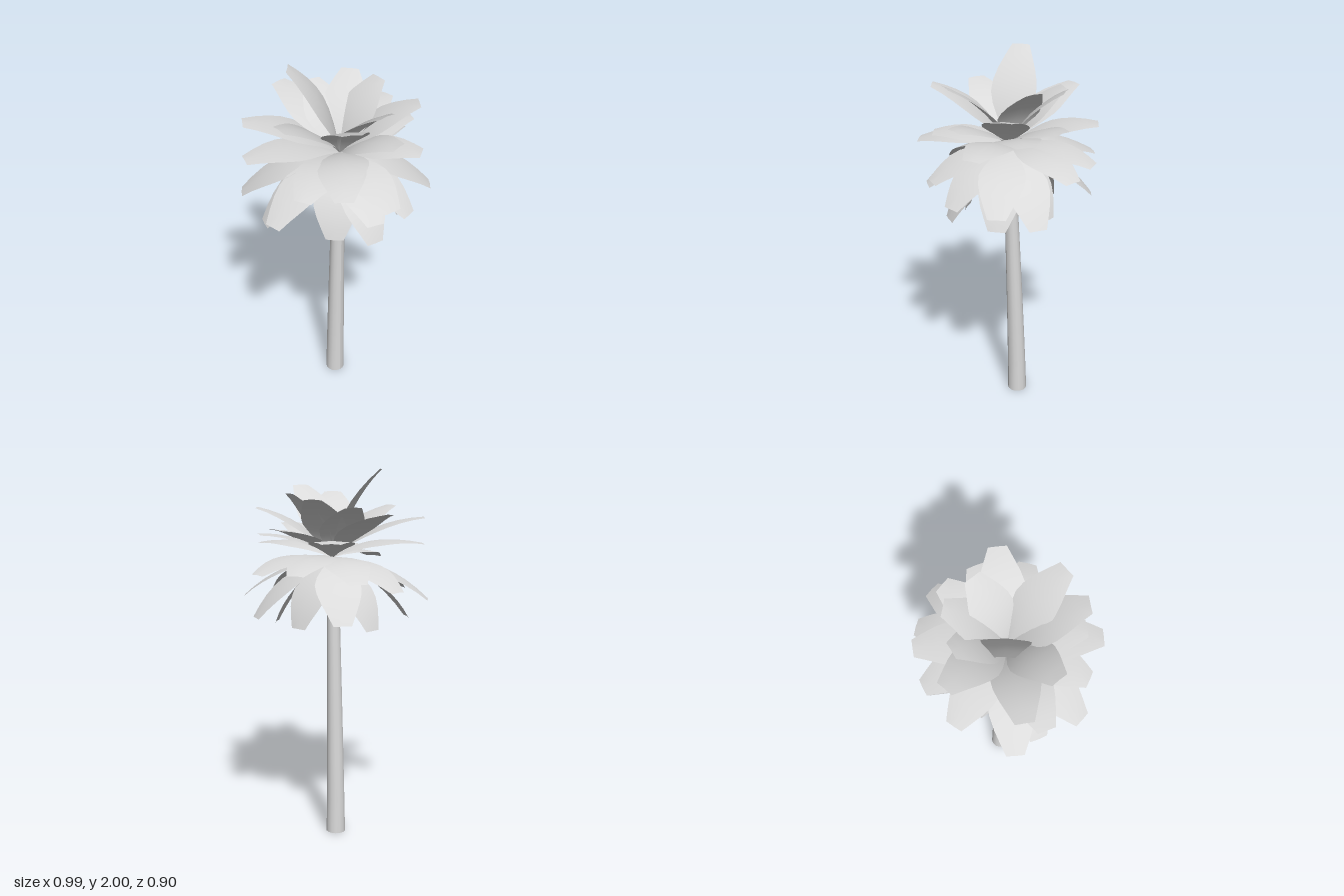
import * as THREE from 'three';

const CROWN = new THREE.Vector3(0, 1.535, 0.01);

// leaf tips (x, y, z), from the upright top layer to the hanging skirt
const UPPER = [
  [-0.20, 2.0, -0.145], [0.025, 1.82, -0.285], [0.21, 1.86, -0.205], [0.25, 1.88, -0.01],
  [0.35, 1.8, 0.2], [0.025, 1.9, 0.365], [-0.17, 1.86, 0.36], [-0.37, 1.8, 0.04],
];
const MIDDLE = [
  [0.375, 1.71, -0.11], [0.385, 1.67, 0.09], [-0.435, 1.75, -0.2], [-0.1, 1.79, -0.41],
  [0.2, 1.66, -0.4], [0.275, 1.6, 0.33], [0.11, 1.7, 0.355], [0.48, 1.49, -0.12],
  [-0.487, 1.6, -0.105], [-0.18, 1.6, 0.36], [-0.25, 1.55, 0.415], [-0.375, 1.5, 0.24],
];
const LOWER = [
  [-0.483, 1.33, 0.13], [-0.075, 1.36, 0.437], [0.02, 1.41, 0.447], [0.16, 1.31, 0.4],
  [0.405, 1.33, 0.255], [0.43, 1.24, 0.04], [0.35, 1.5, -0.3], [0.075, 1.46, -0.445],
  [-0.16, 1.4, -0.425], [-0.44, 1.32, -0.25], [-0.155, 1.15, 0.19], [-0.01, 1.17, 0.35],
  [0.25, 1.18, 0.19], [0.25, 1.19, -0.1], [-0.1, 1.18, -0.27], [0.14, 1.25, -0.405],
  [-0.41, 1.2, -0.08],
];

// half width of a leaf along its length: pointed stem, broad middle, blunt tip
const WIDTH = [[0, 0.004], [0.12, 0.034], [0.25, 0.07], [0.38, 0.102], [0.5, 0.119],
  [0.62, 0.115], [0.75, 0.097], [0.88, 0.071], [1, 0.046]];

// a curved blade swept along an arching midrib, with slightly lowered edges
function leafGeometry([x, y, z]) {
  const tip = new THREE.Vector3(x, y, z);
  const chord = tip.clone().sub(CROWN);
  const side = new THREE.Vector3(chord.z, 0, -chord.x).normalize();
  const arch = chord.clone().cross(side).multiplyScalar(0.19);
  const bend = CROWN.clone().lerp(tip, 0.5).add(arch);
  const rib = new THREE.QuadraticBezierCurve3(CROWN, bend, tip);
  const pos = [], index = [];
  WIDTH.forEach(([t, w], i) => {
    const p = rib.getPoint(t);
    const up = rib.getTangent(t).cross(side).normalize();
    for (const s of [-1, 0, 1]) {
      const v = p.clone().addScaledVector(side, s * w);
      v.addScaledVector(up, -Math.abs(s) * w * 0.08);
      pos.push(v.x, v.y, v.z);
    }
    if (i === 0) return;
    for (let k = 0; k < 2; k++) {
      const a = (i - 1) * 3 + k, b = a + 3;
      index.push(a, b, a + 1, a + 1, b, b + 1);
    }
  });
  const g = new THREE.BufferGeometry();
  g.setAttribute('position', new THREE.Float32BufferAttribute(pos, 3));
  g.setIndex(index);
  g.computeVertexNormals();
  return g;
}

// tapered open trunk leaning gently forward
function trunkGeometry() {
  const h = 1.52;
  const g = new THREE.CylinderGeometry(0.031, 0.053, h, 14, 8, true);
  g.translate(0, h / 2, 0);
  const p = g.attributes.position;
  for (let i = 0; i < p.count; i++) {
    const t = p.getY(i) / h;
    p.setZ(i, p.getZ(i) - 0.04 + 0.05 * Math.pow(t, 1.2));
    p.setX(i, p.getX(i) + 0.002 - 0.005 * t);
  }
  g.computeVertexNormals();
  return g;
}

export function createModel() {
  const palm = new THREE.Group();
  palm.name = 'palmTree';
  const grey = new THREE.MeshStandardMaterial({ color: 0xdadada, side: THREE.DoubleSide });
  grey.name = 'light grey';

  const trunk = new THREE.Mesh(trunkGeometry(), grey);
  trunk.name = 'trunk';
  palm.add(trunk);

  // crown of leaves, layer by layer
  for (const [name, tips] of Object.entries({ upperLeaves: UPPER, middleLeaves: MIDDLE, lowerLeaves: LOWER })) {
    const layer = new THREE.Group();
    layer.name = name;
    for (const tip of tips) {
      const leaf = new THREE.Mesh(leafGeometry(tip), grey);
      leaf.name = 'leaf';
      layer.add(leaf);
    }
    palm.add(layer);
  }
  return palm;
}
